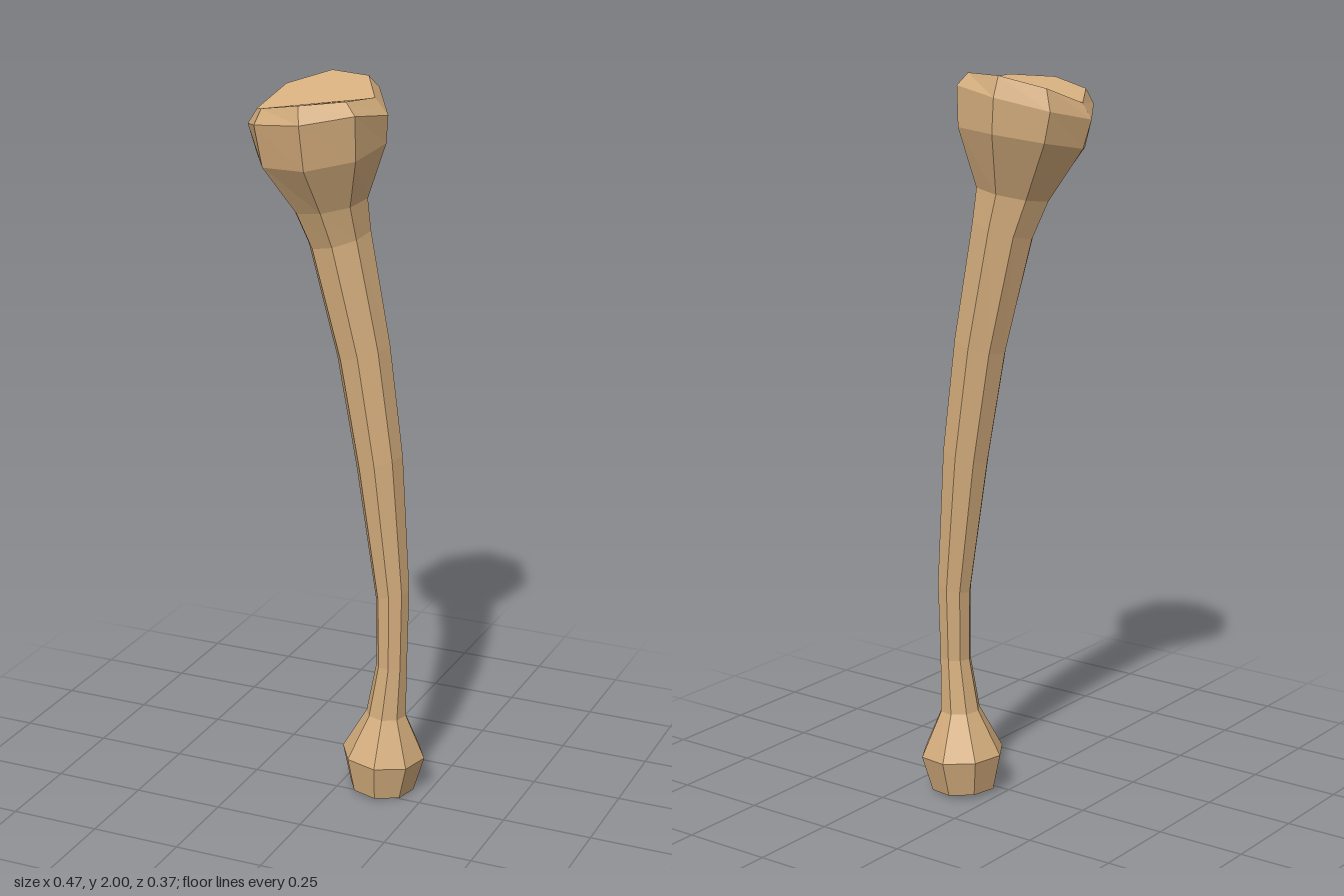
import * as THREE from 'three';

const SIDES = 8;
const TURN = THREE.MathUtils.degToRad(-9.5);

// Tilted octagonal sections: [centre x, y, centre z, radius, slope along x, slope along z]
const SECTIONS = [
  [0.115, 0.006, -0.054, 0.091, -0.06, 0],
  [0.118, 0.107, -0.057, 0.117, -0.06, 0],
  [0.126, 0.23, -0.055, 0.056, -0.05, 0],
  [0.141, 0.38, -0.056, 0.043, 0.0, 0],
  [0.139, 0.59, -0.062, 0.047, 0.3, 0],
  [0.1, 0.97, -0.058, 0.064, 0.3, 0],
  [0.055, 1.275, -0.052, 0.072, 0.3, -0.03],
  [-0.008, 1.585, -0.037, 0.084, 0.24, -0.15],
  [-0.027, 1.68, -0.017, 0.101, 0.16, -0.1],
  [-0.05, 1.825, -0.01, 0.174, 0.09, -0.17],
];
// Flared rim of the head, one height per corner
const RIM_HEIGHTS = [1.92, 1.94, 1.92, 1.905, 1.88, 1.91, 1.945, 1.965];

function ring(cx, cz, r, height) {
  return Array.from({ length: SIDES }, (_, i) => {
    const a = TURN + (i / SIDES) * Math.PI * 2;
    const x = cx + r * Math.cos(a), z = cz + r * Math.sin(a);
    return [x, height(x, z, i), z];
  });
}

// Notched top: two planes meeting at a crease across the head
function notchHeight(x, z) {
  const d = z + 0.15 * (x + 0.043);
  return 1.941 + 0.13 * (x + 0.06) + (d > 0 ? 0.135 * d : -0.36 * d);
}

function makeGeometry(positions) {
  const g = new THREE.BufferGeometry();
  g.setAttribute('position', new THREE.Float32BufferAttribute(positions, 3));
  g.computeVertexNormals();
  return g;
}

// Faceted skin between consecutive rings
function loft(rings) {
  const out = [];
  for (let k = 0; k < rings.length - 1; k++) {
    for (let i = 0; i < SIDES; i++) {
      const j = (i + 1) % SIDES;
      const a = rings[k][i], b = rings[k + 1][i], c = rings[k + 1][j], d = rings[k][j];
      out.push(...a, ...b, ...c, ...a, ...c, ...d);
    }
  }
  return makeGeometry(out);
}

// Fan that closes a ring; corner 0 to corner 4 is the crease
function cap(points, up) {
  const out = [];
  for (let i = 1; i < SIDES - 1; i++) {
    const [p, q] = up ? [points[i + 1], points[i]] : [points[i], points[i + 1]];
    out.push(...points[0], ...p, ...q);
  }
  return makeGeometry(out);
}

export function createModel() {
  const group = new THREE.Group();
  group.name = 'curvedClub';
  const wood = new THREE.MeshStandardMaterial({ color: 0xd4ad7d, flatShading: true });
  wood.name = 'tan wood';

  const add = (name, geometry) => {
    const mesh = new THREE.Mesh(geometry, wood);
    mesh.name = name;
    group.add(mesh);
  };

  const rings = SECTIONS.map(([cx, cy, cz, r, sx, sz]) =>
    ring(cx, cz, r, (x, z) => cy + sx * (x - cx) + sz * (z - cz)));
  const rim = ring(-0.055, 0, 0.187, (x, z, i) => RIM_HEIGHTS[i]);
  const lip = ring(-0.06, 0, 0.156, notchHeight);
  // Lip corners nudged so the far back stretches to the notch edge
  lip.forEach((p) => { p[2] *= 1.06; p[1] = Math.min(2, notchHeight(p[0], p[2])); });

  // Pommel and its flat base
  add('pommelBase', cap(rings[0], false));
  add('pommel', loft(rings.slice(0, 3)));
  // Bowed handle
  add('handle', loft(rings.slice(2, 9)));
  // Swollen head with bevelled rim and notched top
  add('head', loft([...rings.slice(8), rim]));
  add('headBevel', loft([rim, lip]));
  add('headTop', cap(lip, true));
  return group;
}
